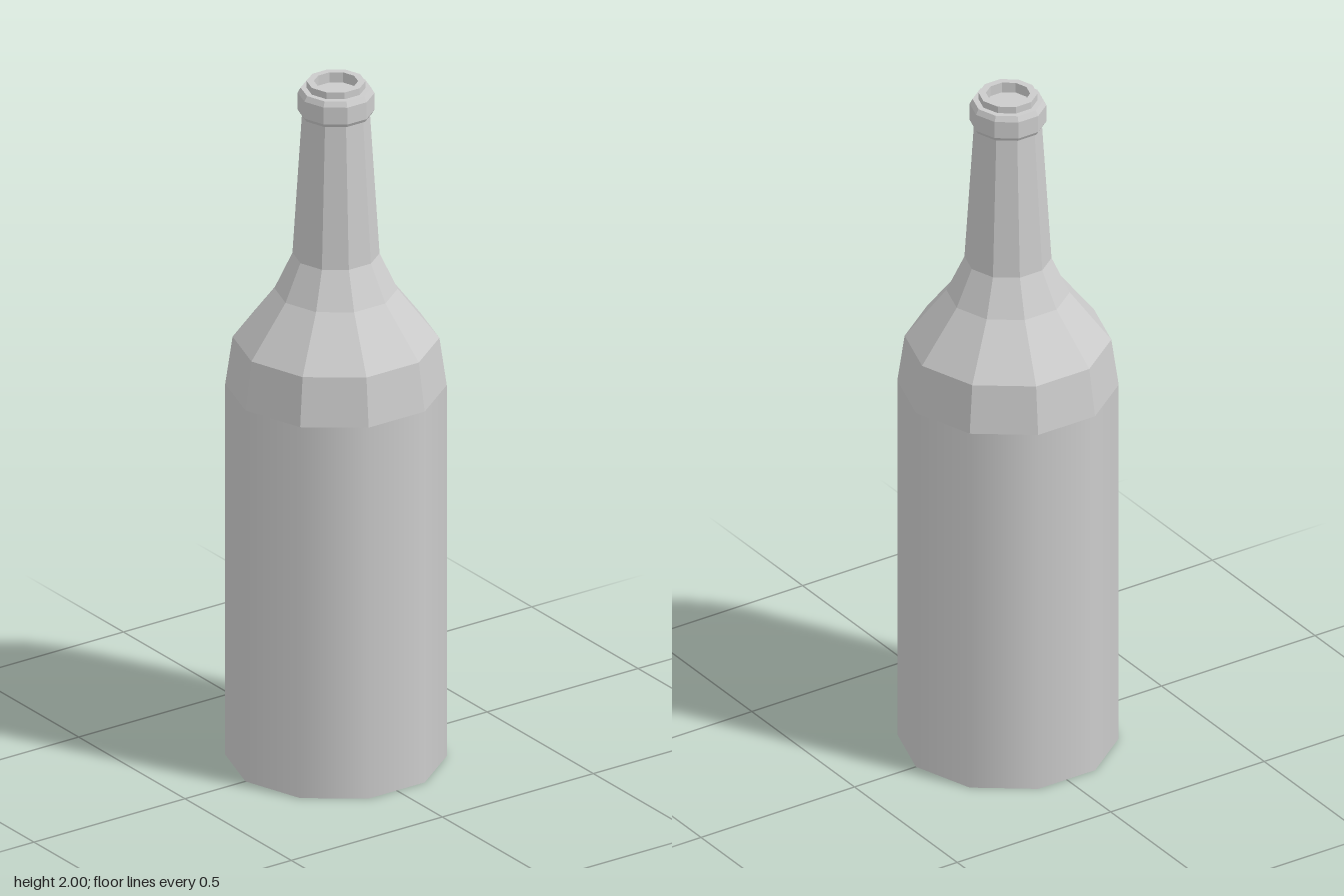
import * as THREE from 'three';

const SIDES = 10;

// Ten-sided ring surface from a profile of [radius, height] pairs, corners on the x axis
function turned(name, profile, flat) {
  const points = profile.map(([r, y]) => new THREE.Vector2(r, y));
  const geometry = new THREE.LatheGeometry(points, SIDES, Math.PI / 2);
  const material = new THREE.MeshStandardMaterial({
    color: 0xcccccc, flatShading: flat, side: THREE.DoubleSide,
  });
  const mesh = new THREE.Mesh(geometry, material);
  mesh.name = name;
  return mesh;
}

export function createModel() {
  const bottle = new THREE.Group();
  bottle.name = 'bottle';
  bottle.add(
    turned('base', [[0, 0], [0.3, 0]], true),
    // Smooth-shaded lower wall
    turned('body', [[0.3, 0], [0.3, 1.1]], false),
    // Faceted shoulder tapering into the neck
    turned('shoulder', [[0.3, 1.1], [0.28, 1.24], [0.167, 1.385], [0.118, 1.49]], true),
    turned('neck', [[0.118, 1.49], [0.092, 1.905]], true),
    // Collar with small bevels above and below
    turned('collar', [
      [0.092, 1.905], [0.098, 1.905], [0.104, 1.915], [0.104, 1.965], [0.096, 1.98], [0.08, 1.98],
    ], true),
    // Raised lip with a shallow recess inside
    turned('mouth', [[0.08, 1.98], [0.08, 2], [0.06, 2], [0.06, 1.97], [0, 1.97]], true),
  );
  return bottle;
}
